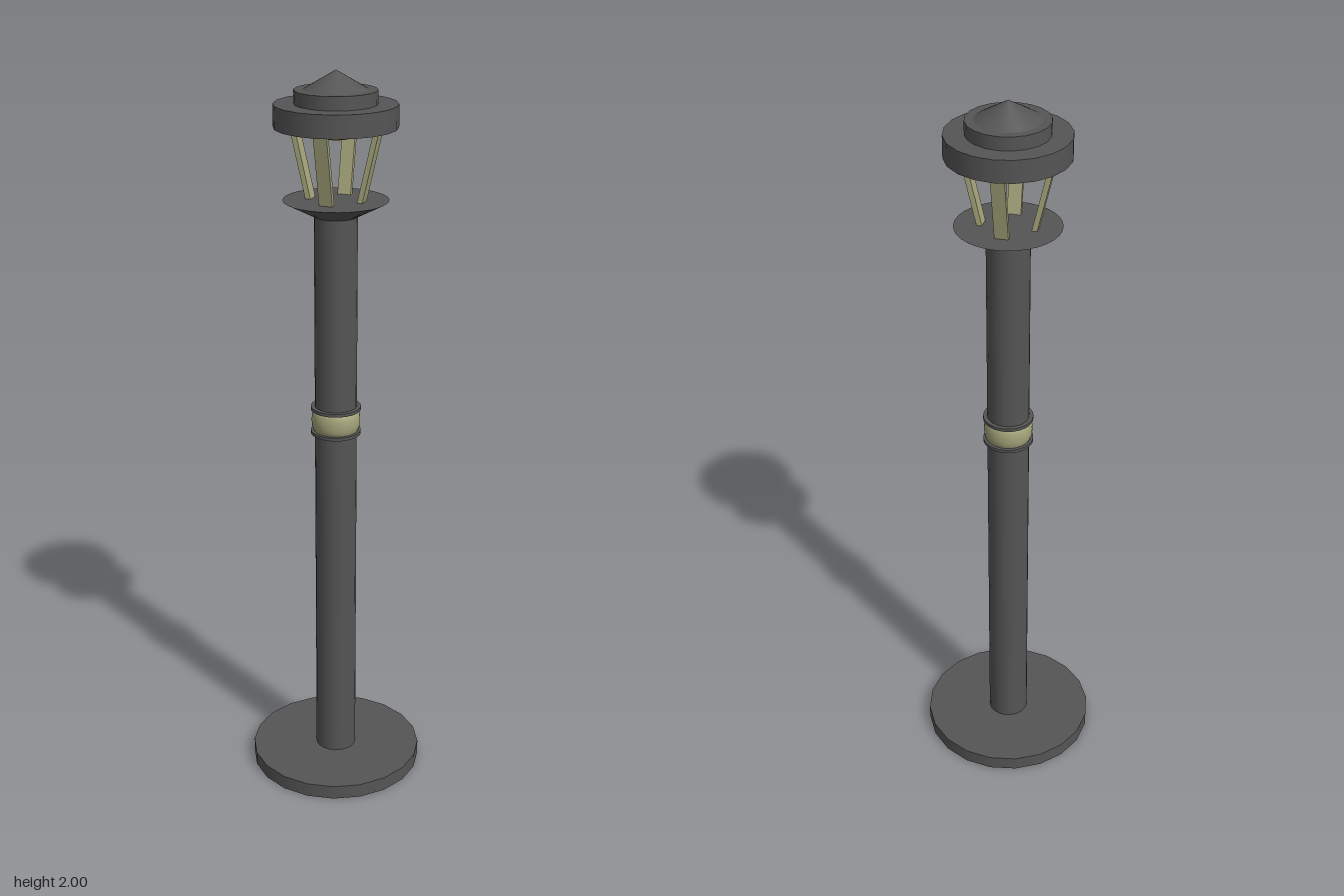
import * as THREE from 'three';

const dark = new THREE.MeshStandardMaterial({ color: 0x555555 });
const brass = new THREE.MeshStandardMaterial({ color: 0xa5a57c });
const glow = new THREE.MeshStandardMaterial({ color: 0xd0c800 });

export function createModel() {
  const lamp = new THREE.Group();
  lamp.name = 'bollardLamp';

  const add = (name, geometry, material, y = 0) => {
    const mesh = new THREE.Mesh(geometry, material);
    mesh.name = name;
    mesh.position.y = y;
    lamp.add(mesh);
    return mesh;
  };
  // Round part between two heights
  const drum = (name, y0, y1, rBottom, rTop = rBottom, sides = 20) =>
    add(name, new THREE.CylinderGeometry(rTop, rBottom, y1 - y0, sides), dark, (y0 + y1) / 2);

  // Foot and post
  drum('base', 0, 0.04, 0.242);
  drum('post', 0.04, 1.63, 0.057);

  // Bulging band between two thin rings
  const bulge = [];
  for (let i = 0; i <= 8; i++) {
    const t = (i / 8) * 2 - 1;
    bulge.push(new THREE.Vector2(0.055 + 0.011 * Math.sqrt(1 - t * t * 0.9), t * 0.032));
  }
  add('band', new THREE.LatheGeometry(bulge, 32), brass, 1.064);
  drum('lowerRing', 1.025, 1.034, 0.068, 0.068, 32);
  drum('upperRing', 1.094, 1.103, 0.068, 0.068, 32);

  // Flared collar under the lantern
  drum('collar', 1.628, 1.67, 0.057, 0.138, 32);

  // Four struts leaning outwards
  const foot = new THREE.Vector3(0, 1.66, 0.068);
  const head = new THREE.Vector3(0, 1.866, 0.116);
  const lean = head.clone().sub(foot);
  for (let i = 0; i < 4; i++) {
    const pivot = new THREE.Group();
    pivot.name = 'strut' + (i + 1);
    const bar = new THREE.Mesh(new THREE.BoxGeometry(0.036, lean.length(), 0.014), brass);
    bar.position.copy(foot).add(head).multiplyScalar(0.5);
    bar.rotation.x = Math.atan2(lean.z, lean.y);
    pivot.add(bar);
    pivot.rotation.y = (i * Math.PI) / 2;
    lamp.add(pivot);
  }

  // Light hanging below the cap
  const bulb = add('bulb', new THREE.SphereGeometry(0.083, 32, 16), glow, 1.86);
  bulb.scale.y = 0.4;

  // Stepped cap with a pointed top
  drum('cap', 1.857, 1.916, 0.16);
  drum('capStep', 1.916, 1.951, 0.107);
  add('capPoint', new THREE.ConeGeometry(0.084, 0.049, 32), dark, 1.9755);

  return lamp;
}
